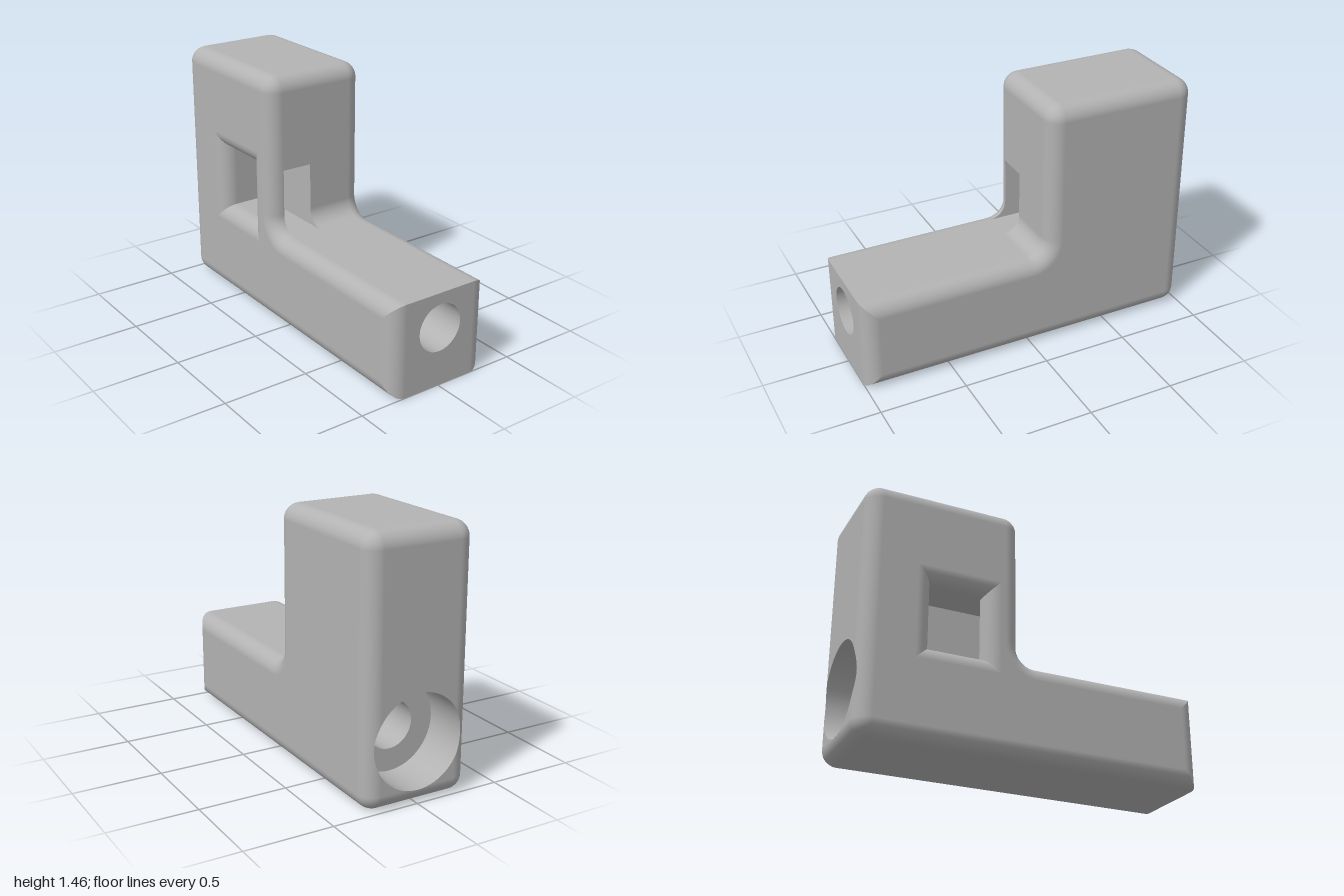
import * as THREE from 'three';

const R = 0.09;            // edge rounding
const ZF = 0.225;          // half depth of the flat sides (full half depth = ZF + R)
const TOP = 1.455, ARM = 0.545, RISER = -0.1;
const SLOT = { x0: -0.61, x1: -0.305, y0: ARM, y1: 0.915, z0: 0.045, z1: ZF };
const BORE = { y: 0.342, small: 0.137, big: 0.265, step: -0.73, sides: 64 };

// L-shaped outline, counter-clockwise: point, normal and inset direction
function outline() {
  const pts = [];
  const arc = (cx, cy, r, a0, a1, flip = 1) => {
    for (let i = 0; i <= 10; i++) {
      const a = (a0 + (a1 - a0) * i / 10) * Math.PI / 180;
      const n = [Math.cos(a) * flip, Math.sin(a) * flip];
      pts.push({ p: [cx + r * Math.cos(a), cy + r * Math.sin(a)], n, m: n });
    }
  };
  const corner = (x, y, m, n1, n2) => pts.push({ p: [x, y], n: n1, m }, { p: [x, y], n: n2, m });
  arc(-1 + R, R, R, 180, 270);
  corner(1, 0, [1, -1], [0, -1], [1, 0]);
  corner(1, ARM, [1, 1], [1, 0], [0, 1]);
  arc(0, ARM + 0.1, 0.1, 270, 180, -1);
  arc(RISER - R, TOP - R, R, 0, 90);
  arc(-1 + R, TOP - R, R, 90, 180);
  return pts;
}

// Solid with rounded rims, as triangles of [x,y,z,nx,ny,nz] corners
function bodyTriangles() {
  const pts = outline(), rings = [], tris = [], steps = 8;
  for (const side of [-1, 1]) {
    for (let i = 0; i <= steps; i++) {
      const t = (side < 0 ? i / steps - 1 : i / steps) * Math.PI / 2;
      const o = R * (1 - Math.cos(t)), z = side * ZF + R * Math.sin(t);
      rings.push(pts.map(({ p, n, m }) => [p[0] - o * m[0], p[1] - o * m[1], z,
        n[0] * Math.cos(t), n[1] * Math.cos(t), Math.sin(t)]));
    }
  }
  for (let i = 0; i < rings.length - 1; i++) {
    for (let j = 0; j < pts.length; j++) {
      const k = (j + 1) % pts.length;
      const [a, b, c, d] = [rings[i][j], rings[i][k], rings[i + 1][k], rings[i + 1][j]];
      tris.push([a, b, c], [a, c, d]);
    }
  }
  // flat front and back
  const flat = rings[0].map(v => new THREE.Vector2(v[0], v[1])).filter((v, i, all) =>
    v.distanceTo(all[(i + 1) % all.length]) > 1e-5);
  for (const [a, b, c] of THREE.ShapeUtils.triangulateShape(flat, [])) {
    const at = (i, s) => [flat[i].x, flat[i].y, s * (ZF + R), 0, 0, s];
    tris.push([at(a, 1), at(b, 1), at(c, 1)], [at(a, -1), at(c, -1), at(b, -1)]);
  }
  return tris;
}

// Removes the part of each triangle inside a convex cutter; plane = [nx,ny,nz,d]
function cut(tris, planes) {
  const out = [];
  const dist = (v, q) => v[0] * q[0] + v[1] * q[1] + v[2] * q[2] - q[3];
  const fan = poly => {
    for (let i = 1; i < poly.length - 1; i++) out.push([poly[0], poly[i], poly[i + 1]]);
  };
  for (const tri of tris) {
    if (planes.some(q => tri.every(v => dist(v, q) > -1e-6))) { out.push(tri); continue; }
    let poly = tri;
    for (const q of planes) {
      const inside = [], outside = [];
      poly.forEach((a, i) => {
        const b = poly[(i + 1) % poly.length], da = dist(a, q), db = dist(b, q);
        (da < 0 ? inside : outside).push(a);
        if ((da < 0) !== (db < 0)) {
          const v = a.map((c, k) => c + (b[k] - c) * da / (da - db));
          inside.push(v);
          outside.push(v);
        }
      });
      if (outside.length > 2) fan(outside);
      poly = inside;
      if (poly.length < 3) break;
    }
  }
  return out;
}

const boxCutter = (x0, x1, y0, y1, z0, z1) => [
  [-1, 0, 0, -x0], [1, 0, 0, x1], [0, -1, 0, -y0], [0, 1, 0, y1], [0, 0, -1, -z0], [0, 0, 1, z1]];

function boreCutter(r, end) {
  const planes = [[-end, 0, 0, -0.5]];
  for (let i = 0; i < BORE.sides; i++) {
    const a = (i + 0.5) / BORE.sides * Math.PI * 2, c = Math.cos(a), s = Math.sin(a);
    planes.push([0, c, s, r * Math.cos(Math.PI / BORE.sides) + c * BORE.y]);
  }
  return planes;
}

function toGeometry(tris) {
  const g = new THREE.BufferGeometry(), v = tris.flat();
  g.setAttribute('position', new THREE.Float32BufferAttribute(v.flatMap(c => c.slice(0, 3)), 3));
  g.setAttribute('normal', new THREE.Float32BufferAttribute(v.flatMap(c => c.slice(3)), 3));
  return g;
}

// Rounded, mitred lip around the front window
function lipTriangles() {
  const { x0, x1, y0, y1 } = SLOT, tris = [], steps = 8;
  const c = [[x0, y0, -1, -1], [x1, y0, 1, -1], [x1, y1, 1, 1], [x0, y1, -1, 1]];
  const inward = [[0, 1], [-1, 0], [0, -1], [1, 0]];
  for (let s = 0; s < 4; s++) {
    const at = (k, i) => {
      const t = i / steps * Math.PI / 2, o = R * (1 - Math.cos(t));
      return [k[0] + o * k[2], k[1] + o * k[3], ZF + R * Math.sin(t),
        inward[s][0] * Math.cos(t), inward[s][1] * Math.cos(t), Math.sin(t)];
    };
    for (let i = 0; i < steps; i++) {
      const a = c[s], b = c[(s + 1) % 4];
      tris.push([at(a, i), at(b, i + 1), at(a, i + 1)], [at(a, i), at(b, i), at(b, i + 1)]);
    }
  }
  return tris;
}

// Slot wall in the xy plane, ending on the riser and its concave foot
function slotWall(x0) {
  const s = new THREE.Shape();
  s.moveTo(x0, SLOT.y0);
  s.lineTo(0, SLOT.y0);
  s.absarc(0, ARM + 0.1, 0.1, -Math.PI / 2, -Math.PI, true);
  s.lineTo(RISER, SLOT.y1);
  s.lineTo(x0, SLOT.y1);
  return new THREE.ShapeGeometry(s, 10);
}

export function createModel() {
  const group = new THREE.Group();
  const grey = new THREE.MeshStandardMaterial({ color: 0xb3b3b3, side: THREE.DoubleSide });
  grey.name = 'plain grey';
  const add = (name, geometry, x = 0, y = 0, z = 0) => {
    const mesh = new THREE.Mesh(geometry, grey);
    mesh.name = name;
    mesh.position.set(x, y, z);
    group.add(mesh);
  };
  const { x0, x1, y0, y1, z0, z1 } = SLOT;

  // body with its openings
  let tris = bodyTriangles();
  tris = cut(tris, boxCutter(x0 - R, x1 + R, y0 - R, y1 + R, 0.3, 0.4));
  tris = cut(tris, boxCutter(x1, 0, y0, y1, z0, z1));
  tris = cut(tris, boreCutter(BORE.big, -1));
  tris = cut(tris, boreCutter(BORE.small, 1));
  add('body', toGeometry(tris));

  // front window and side slot
  add('windowLip', toGeometry(lipTriangles()));
  add('slotBack', slotWall(x0), 0, 0, z0);
  const front = slotWall(x1);
  front.scale(-1, 1, 1).rotateY(Math.PI);
  front.scale(1, 1, -1);
  // same outline, turned to face backwards
  const idx = front.index.array;
  for (let i = 0; i < idx.length; i += 3) [idx[i], idx[i + 1]] = [idx[i + 1], idx[i]];
  front.computeVertexNormals();
  add('slotFront', front, 0, 0, z1);
  const depth = z1 - z0, zm = (z0 + z1) / 2;
  add('slotFloor', new THREE.PlaneGeometry(-x0, depth).rotateX(-Math.PI / 2), x0 / 2, y0, zm);
  add('slotCeiling', new THREE.PlaneGeometry(RISER - x0, depth).rotateX(Math.PI / 2), (x0 + RISER) / 2, y1, zm);
  add('slotEnd', new THREE.PlaneGeometry(depth, y1 - y0).rotateY(Math.PI / 2), x0, (y0 + y1) / 2, zm);

  // stepped bore running lengthwise
  const lathe = (r0, a0, r1, a1) => new THREE.LatheGeometry(
    [new THREE.Vector2(r0, a0), new THREE.Vector2(r1, a1)], BORE.sides).rotateZ(-Math.PI / 2);
  add('bore', lathe(BORE.small, 1, BORE.small, BORE.step), 0, BORE.y);
  add('boreStep', lathe(BORE.small, BORE.step, BORE.big, BORE.step), 0, BORE.y);
  const wide = lathe(BORE.big, BORE.step, BORE.big, -1), p = wide.attributes.position;
  for (let i = 0; i < p.count; i++) {
    // the mouth follows the rounded edges
    const e = Math.max(0, Math.abs(p.getZ(i)) - ZF) / R;
    if (p.getX(i) < -0.99) p.setX(i, -1 + R * (1 - Math.sqrt(1 - e * e)));
  }
  add('wideBore', wide, 0, BORE.y);
  return group;
}
